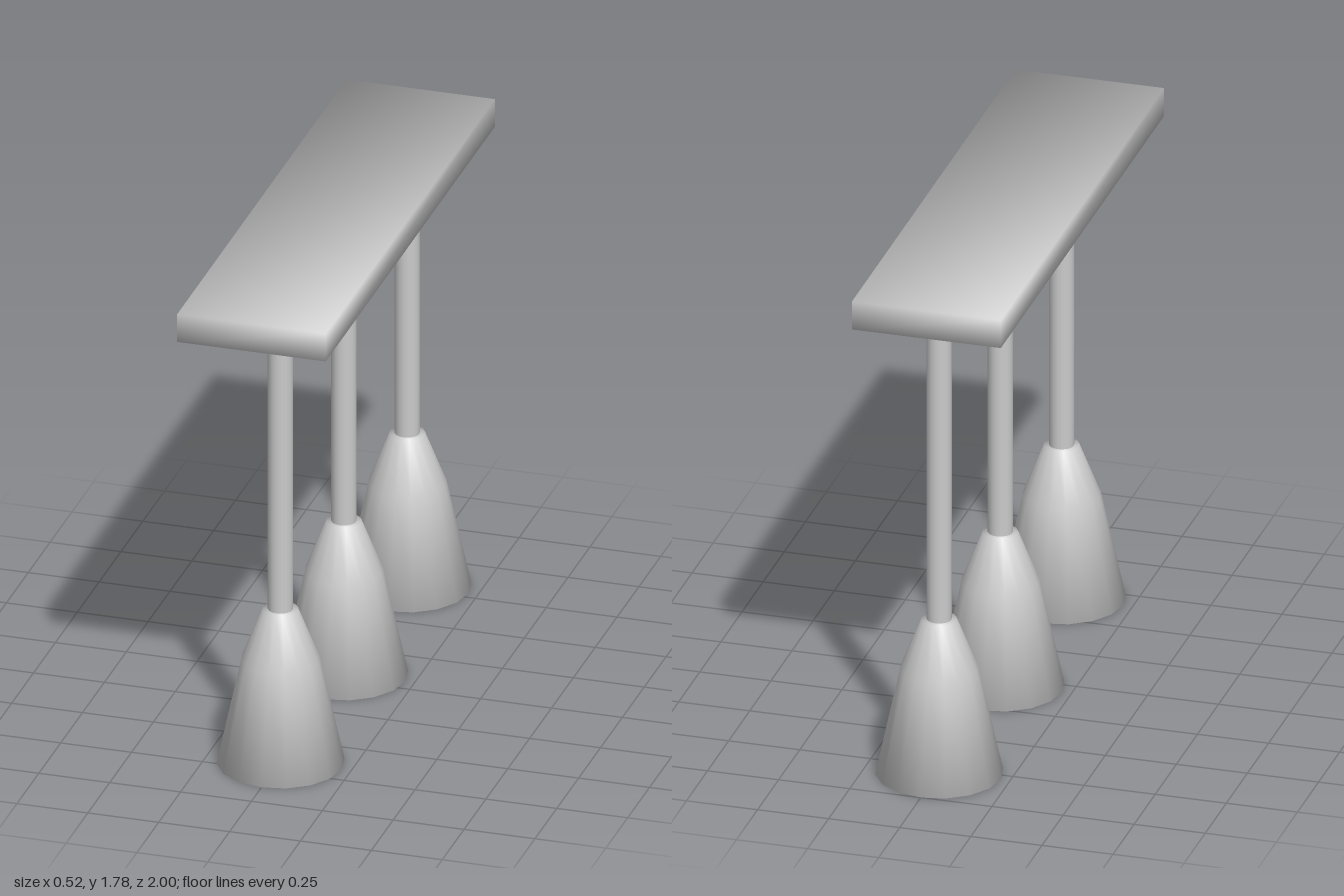
import * as THREE from 'three';

const material = new THREE.MeshStandardMaterial({ color: 0xcccccc });

// Box whose corners share one diagonal normal, giving soft shading across its edges
function softBox(w, h, d) {
  const geometry = new THREE.BoxGeometry(w, h, d);
  const { position, normal } = geometry.attributes;
  const n = new THREE.Vector3();
  for (let i = 0; i < position.count; i++) {
    n.set(Math.sign(position.getX(i)), Math.sign(position.getY(i)), Math.sign(position.getZ(i))).normalize();
    normal.setXYZ(i, n.x, n.y, n.z);
  }
  return geometry;
}

function addPart(parent, name, geometry, x, y, z) {
  const mesh = new THREE.Mesh(geometry, material);
  mesh.name = name;
  mesh.position.set(x, y, z);
  parent.add(mesh);
}

export function createModel() {
  const model = new THREE.Group();
  model.name = 'pendantLight';

  // Ceiling plate, reaching slightly further past the lamps at the front
  const plateBottom = 1.677, plateTop = 1.78, front = 1, back = -0.935;
  addPart(model, 'ceilingPlate', softBox(0.524, plateTop - plateBottom, front - back),
    0, (plateTop + plateBottom) / 2, (front + back) / 2);

  // Closed shade: flared body with a steeper shoulder
  const shadeTop = 0.57;
  const profile = [[0, 0], [0.217, 0], [0.133, 0.385], [0.06, shadeTop], [0, shadeTop]]
    .map(([r, y]) => new THREE.Vector2(r, y));
  const shade = new THREE.LatheGeometry(profile, 16);

  // Rod from the shade to the plate
  const rodLength = plateBottom - shadeTop;
  const rod = new THREE.CylinderGeometry(0.043, 0.043, rodLength, 16);

  // Three identical lamps in a row
  [0.668, -0.058, -0.783].forEach((z, i) => {
    const lamp = new THREE.Group();
    lamp.name = `lamp${i + 1}`;
    lamp.position.z = z;
    addPart(lamp, 'shade', shade, 0, 0, 0);
    addPart(lamp, 'rod', rod, 0, shadeTop + rodLength / 2, 0);
    model.add(lamp);
  });

  return model;
}
